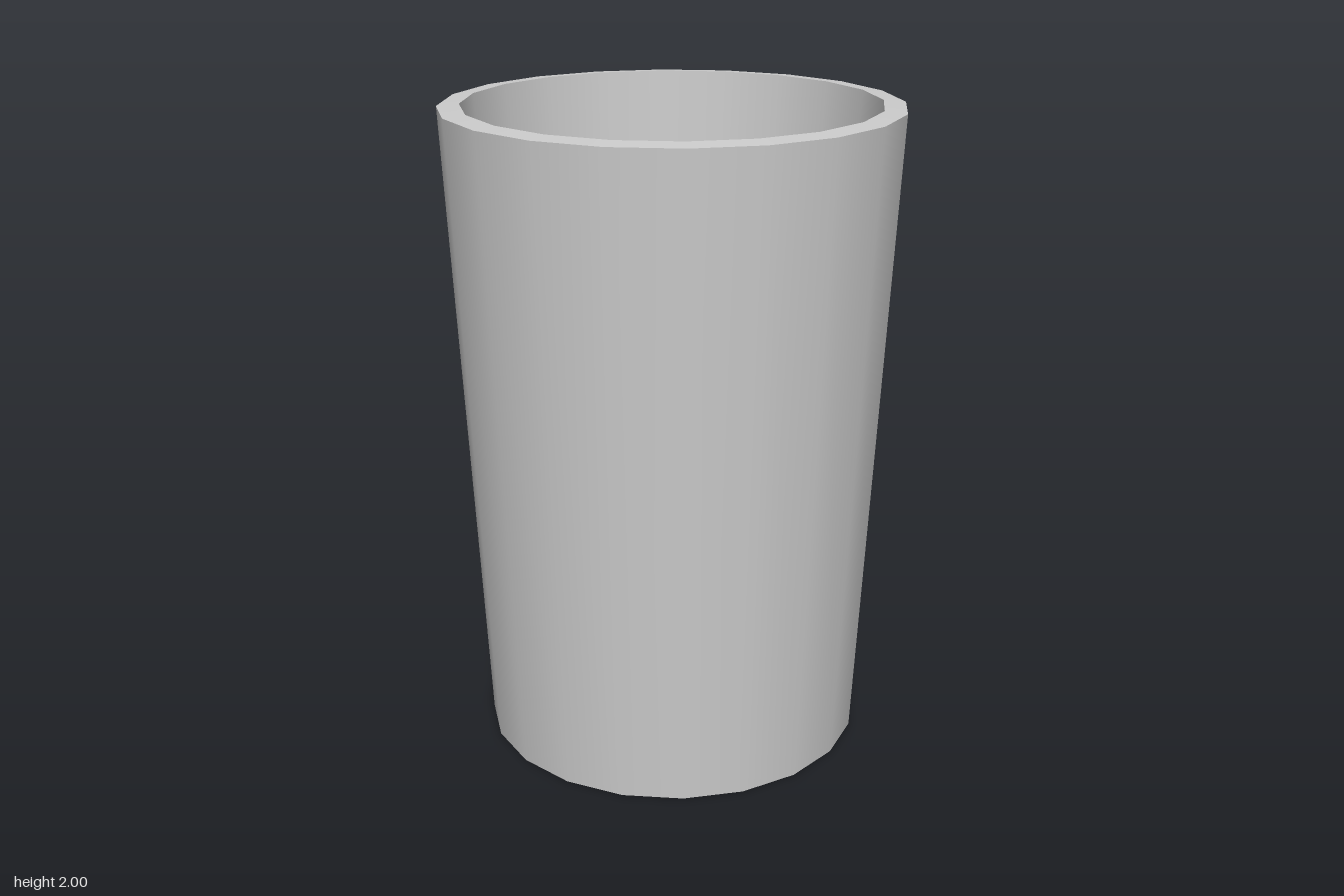
import * as THREE from 'three';

const SIDES = 20;

export function createModel() {
  const cup = new THREE.Group();
  cup.name = 'cup';
  const material = new THREE.MeshStandardMaterial({ color: 0xcccccc });

  // Profile [radius, height] from the base centre, over the rim, to the floor centre
  const profile = [
    [0, 0],
    [0.595, 0],
    [0.694, 1.994],
    [0.627, 2],
    [0.507, 0.085],
    [0, 0.085],
  ].map(([r, y]) => new THREE.Vector2(r, y));

  // One lathe per band keeps the edges sharp and the walls smooth around
  ['base', 'outerWall', 'rim', 'innerWall', 'floor'].forEach((name, i) => {
    const band = new THREE.LatheGeometry([profile[i], profile[i + 1]], SIDES);
    const mesh = new THREE.Mesh(band, material);
    mesh.name = name;
    cup.add(mesh);
  });

  return cup;
}
